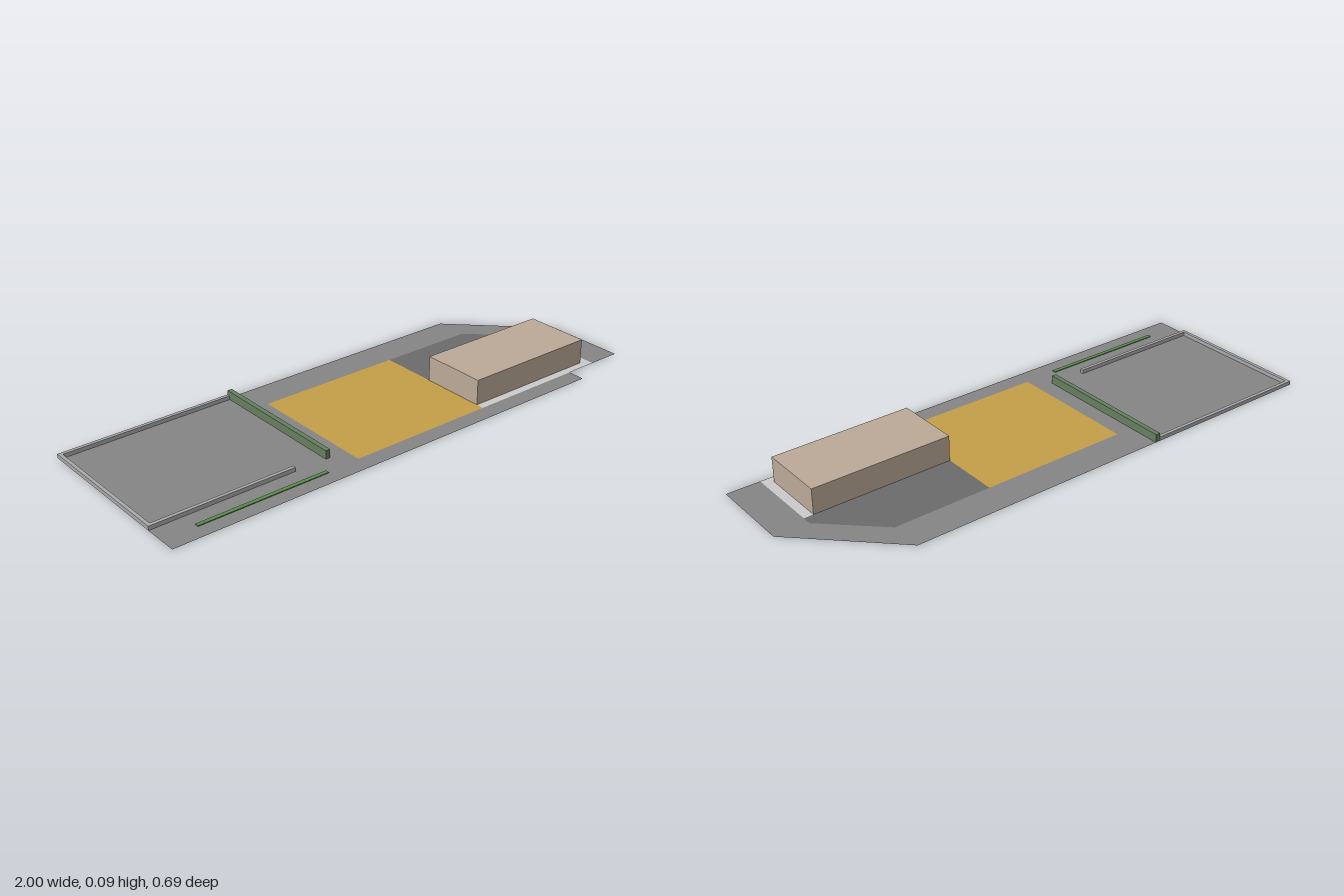
import * as THREE from 'three';

const paint = (color) => new THREE.MeshStandardMaterial({ color, side: THREE.DoubleSide, flatShading: true });

export function createModel() {
  const group = new THREE.Group();
  const paving = paint(0x868686), asphalt = paint(0x6c6c6c), pale = paint(0xcccccc);
  const ochre = paint(0xc49f48), brick = paint(0xbdaa99);
  const hedgeGreen = paint(0x677f5f), grassGreen = paint(0x5a8f4c), stone = paint(0xaaaaaa);

  const add = (name, geometry, material) => {
    const mesh = new THREE.Mesh(geometry, material);
    mesh.name = name;
    group.add(mesh);
  };

  // Flat area on the ground from [x, z] corners
  const area = (name, corners, material) => {
    const shape = new THREE.Shape(corners.map(([x, z]) => new THREE.Vector2(x, -z)));
    add(name, new THREE.ShapeGeometry(shape).rotateX(-Math.PI / 2), material);
  };

  // Block standing on the ground, open underneath
  const block = (name, x0, x1, z0, z1, height, material) => {
    const geometry = new THREE.BoxGeometry(x1 - x0, height, z1 - z0);
    const index = Array.from(geometry.index.array);
    index.splice(18, 6); // the bottom face
    geometry.setIndex(index);
    geometry.clearGroups();
    geometry.translate((x0 + x1) / 2, height / 2, (z0 + z1) / 2);
    add(name, geometry, material);
  };

  // Ground areas, fitted edge to edge
  area('ground', [
    [-1, -0.345], [0.68, -0.345], [1, -0.03], [1, 0.28], [0.875, 0.28], [0.875, -0.035],
    [0.68, -0.22], [-0.25, -0.22], [-0.25, 0.28], [0.75, 0.28], [0.75, 0.345], [-1, 0.345],
  ], paving);
  area('courtyard', [[-0.25, -0.22], [0.31, -0.22], [0.31, 0.28], [-0.25, 0.28]], ochre);
  area('parkingArea', [[0.31, -0.22], [0.68, -0.22], [0.875, -0.035], [0.875, 0], [0.31, 0]], asphalt);
  area('walkway', [[0.84, 0], [0.875, 0], [0.875, 0.28], [0.31, 0.28], [0.31, 0.25], [0.84, 0.25]], pale);

  // Building
  block('building', 0.31, 0.84, 0, 0.25, 0.095, brick);

  // Low kerb around the field
  block('backKerb', -1, -0.335, -0.345, -0.332, 0.015, stone);
  block('sideKerb', -1, -0.987, -0.332, 0.202, 0.015, stone);
  block('frontKerb', -1, -0.455, 0.202, 0.215, 0.015, stone);

  // Planting
  block('hedge', -0.333, -0.315, -0.345, 0.215, 0.031, hedgeGreen);
  block('grassStrip', -0.875, -0.38, 0.275, 0.29, 0.003, grassGreen);

  return group;
}
